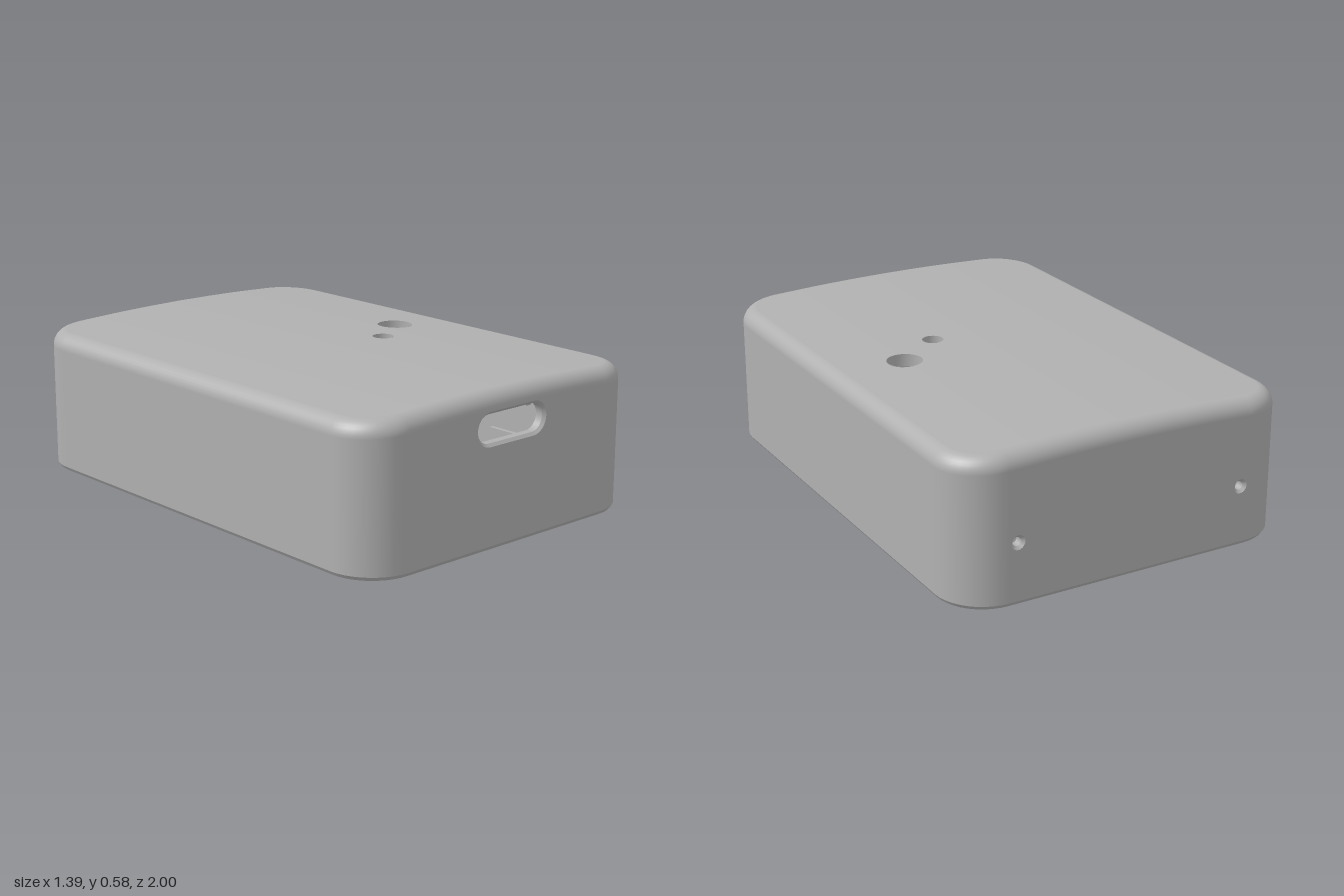
import * as THREE from 'three';

const CX = 0.505, CZ = 0.81;              // corner centres of the rounded outline
const R_OUT = 0.19, R_IN = 0.15;          // corner radii of outer and inner skin
const FILLET = 0.06, TOP = 0.585, CEILING = 0.535;
const N = 10;                             // segments per corner
const XS = [-CX, -0.47, -0.33, -0.26, -0.15, 0, 0.15, 0.26, 0.325, 0.475, CX];
const crown = (x) => -0.05 * x * x;       // gentle arch of the lid

// Points round the plan: corner centre plus outward direction
function outline() {
  const pts = XS.map((x) => ({ x, z: CZ, dx: 0, dz: 1 }));
  const corner = (sx, sz, start, from, to) => {
    for (let i = from; i <= to; i++) {
      const t = start + (i / N) * Math.PI / 2;
      pts.push({ x: sx * CX, z: sz * CZ, dx: Math.sin(t), dz: Math.cos(t) });
    }
  };
  corner(1, 1, 0, 1, N);
  corner(1, -1, Math.PI / 2, 0, N);
  [...XS].reverse().slice(1).forEach((x) => pts.push({ x, z: -CZ, dx: 0, dz: -1 }));
  corner(-1, -1, Math.PI, 1, N);
  corner(-1, 1, Math.PI * 1.5, 0, N - 1);
  return pts;
}
const PLAN = outline();

// Band between two rings {r, y, arch, nr, ny}; open leaves out the flat ends
function band(a, b, open = false) {
  const pos = [], nor = [], idx = [], n = PLAN.length;
  for (const k of [a, b]) {
    for (const p of PLAN) {
      const x = p.x + p.dx * k.r;
      pos.push(x, k.y + (k.arch ? crown(x) : 0), p.z + p.dz * k.r);
      nor.push(p.dx * k.nr, k.ny, p.dz * k.nr);
    }
  }
  for (let i = 0; i < n; i++) {
    const j = (i + 1) % n;
    const flatEnd = Math.abs(PLAN[i].dx) < 1e-6 && Math.abs(PLAN[j].dx) < 1e-6;
    if (open && flatEnd) continue;
    idx.push(i, j, n + j, i, n + j, n + i);
  }
  const g = new THREE.BufferGeometry();
  g.setAttribute('position', new THREE.Float32BufferAttribute(pos, 3));
  g.setAttribute('normal', new THREE.Float32BufferAttribute(nor, 3));
  g.setIndex(idx);
  return g;
}

// Straight profile step with its own flat normal
function step(r0, y0, r1, y1, arch = false, open = false) {
  const d = Math.hypot(r1 - r0, y1 - y0);
  const n = { nr: (y1 - y0) / d, ny: (r0 - r1) / d };
  const top = y1 > y0;
  return band({ r: r0, y: y0, arch: arch && !top, ...n }, { r: r1, y: y1, arch: arch && top, ...n }, open);
}

// Slot contour; half = 0 gives a circle
function contour(half, r, x = 0, y = 0) {
  const pts = [];
  for (let s = 0; s < 2; s++) {
    for (let i = 0; i <= 16; i++) {
      if (half === 0 && i === 16) continue;
      const t = -Math.PI / 2 + s * Math.PI + (i / 16) * Math.PI;
      pts.push(new THREE.Vector2(x + (s ? -half : half) + r * Math.cos(t), y + r * Math.sin(t)));
    }
  }
  return pts;
}

// Lining of a hole: from z = 0 inwards along -z, optionally chamfered
function bore(half, r0, r1, depth) {
  const pos = [], idx = [];
  const rings = [[r0, 0], [r1, r1 - r0], [r1, r1 - r0], [r1, -depth]];
  const n = contour(half, r0).length;
  rings.forEach(([r, z]) => contour(half, r).forEach((p) => pos.push(p.x, p.y, z)));
  for (const k of r0 > r1 ? [0, 2] : [2]) {
    for (let i = 0; i < n; i++) {
      const a = k * n + i, b = k * n + (i + 1) % n;
      idx.push(a, b, b + n, a, b + n, a + n);
    }
  }
  const g = new THREE.BufferGeometry();
  g.setAttribute('position', new THREE.Float32BufferAttribute(pos, 3));
  g.setIndex(idx);
  g.computeVertexNormals();
  return g;
}

// Flat end panel with an arched upper edge and holes
function endPanel(y0, y1, holes) {
  const pts = [new THREE.Vector2(-CX, y0), new THREE.Vector2(CX, y0)];
  [...XS].reverse().forEach((x) => pts.push(new THREE.Vector2(x, y1 + crown(x))));
  const s = new THREE.Shape(pts);
  holes.forEach((h) => s.holes.push(new THREE.Path(h)));
  return new THREE.ShapeGeometry(s);
}

export function createModel() {
  const group = new THREE.Group();
  const grey = new THREE.MeshStandardMaterial({ color: 0xb0b0b0, side: THREE.DoubleSide });
  grey.name = 'matte grey';
  const add = (name, geo, x = 0, y = 0, z = 0, rx = 0, ry = 0) => {
    const m = new THREE.Mesh(geo, grey);
    m.name = name;
    m.position.set(x, y, z);
    m.rotation.set(rx, ry, 0);
    group.add(m);
    return m;
  };

  // Side walls and stepped bottom rim
  add('innerWall', step(R_IN, CEILING, R_IN, 0.03, true, true));
  add('rimStep', step(R_IN, 0.03, 0.165, 0.03));
  add('rimLip', step(0.165, 0.03, 0.165, 0));
  add('rim', step(0.165, 0, 0.18, 0));
  add('rimChamfer', step(0.18, 0, R_OUT, 0.015));
  add('outerWall', step(R_OUT, 0.015, R_OUT, TOP - FILLET, true, true));

  // Rounded upper edge
  const ring = (i) => {
    const t = (i / 8) * Math.PI / 2, c = Math.cos(t), s = Math.sin(t);
    return { r: R_OUT - FILLET + FILLET * c, y: TOP - FILLET + FILLET * s, arch: true, nr: c, ny: s };
  };
  for (let i = 0; i < 8; i++) add('upperEdge', band(ring(i), ring(i + 1)));

  // Arched lid and ceiling, in strips across x, with two round holes
  const lidHoles = [[0.4, -0.03, 0.07], [0.205, 0.11, 0.042]];
  const deck = (name, r, y, up) => {
    const edge = [];
    for (let i = 1; i <= N; i++) {
      const t = (i / N) * Math.PI / 2;
      edge.push([CX + r * Math.sin(t), CZ + r * Math.cos(t)]);
    }
    const cols = [...edge.map(([x, z]) => [-x, z]).reverse(), ...XS.map((x) => [x, CZ + r]), ...edge];
    for (let i = 0; i < cols.length - 1; i++) {
      const [x0, z0] = cols[i], [x1, z1] = cols[i + 1];
      const s = new THREE.Shape([[x0, -z0], [x1, -z1], [x1, z1], [x0, z0]].map((p) => new THREE.Vector2(...p)));
      for (const [hx, hz, hr] of lidHoles) {
        if (hx > x0 && hx < x1) s.holes.push(new THREE.Path(contour(0, hr, hx, up ? -hz : hz)));
      }
      const g = new THREE.ShapeGeometry(s).rotateX(up ? -Math.PI / 2 : Math.PI / 2);
      const p = g.attributes.position, n = g.attributes.normal, k = up ? 1 : -1;
      for (let j = 0; j < p.count; j++) {
        const x = p.getX(j), v = new THREE.Vector3(0.1 * x * k, k, 0).normalize();
        p.setY(j, y + crown(x));
        n.setXYZ(j, v.x, v.y, v.z);
      }
      add(name, g);
    }
  };
  deck('lid', R_OUT - FILLET, TOP, true);
  deck('ceiling', R_IN, CEILING, false);
  for (const [x, z, r] of lidHoles) {
    add('lidHole', bore(0, r, r, TOP - CEILING), x, TOP + crown(x), z, -Math.PI / 2);
  }

  // Front end with port slot, back end with two small countersunk holes
  const zOut = CZ + R_OUT, zIn = CZ + R_IN, wall = R_OUT - R_IN;
  const slotY = 0.452, screwX = 0.47, screwY = 0.24;
  const screws = (r) => [-1, 1].map((s) => contour(0, r, s * screwX, screwY));
  add('frontPanel', endPanel(0.015, TOP - FILLET, [contour(0.112, 0.065, 0, slotY)]), 0, 0, zOut);
  add('frontInnerPanel', endPanel(0.03, CEILING, [contour(0.112, 0.054, 0, slotY)]), 0, 0, zIn, 0, Math.PI);
  add('portSlot', bore(0.112, 0.065, 0.054, wall), 0, slotY, zOut);
  add('backPanel', endPanel(0.015, TOP - FILLET, screws(0.028)), 0, 0, -zOut, 0, Math.PI);
  add('backInnerPanel', endPanel(0.03, CEILING, screws(0.017)), 0, 0, -zIn);

  // Interior ledges, snap catches and locating posts
  for (const s of [-1, 1]) {
    add('screwHole', bore(0, 0.028, 0.017, wall), s * screwX, screwY, -zOut, 0, Math.PI);
    add('sideLedge', new THREE.BoxGeometry(0.09, 0.23, 1.8), s * 0.605, 0.405, 0);
    for (const z of [-0.4, 0.4]) {
      add('snapCatch', new THREE.BoxGeometry(0.03, 0.035, 0.22), s * 0.65, 0.15, z);
    }
    for (const z of [-0.55, 0.55]) {
      add('sidePost', new THREE.BoxGeometry(0.04, 0.13, 0.06), s * 0.55, 0.4, z);
    }
    for (const x of [0.32, 0.5]) {
      add('frontPost', new THREE.BoxGeometry(0.06, 0.13, 0.04), s * x, 0.37, 0.945);
    }
  }
  return group;
}
